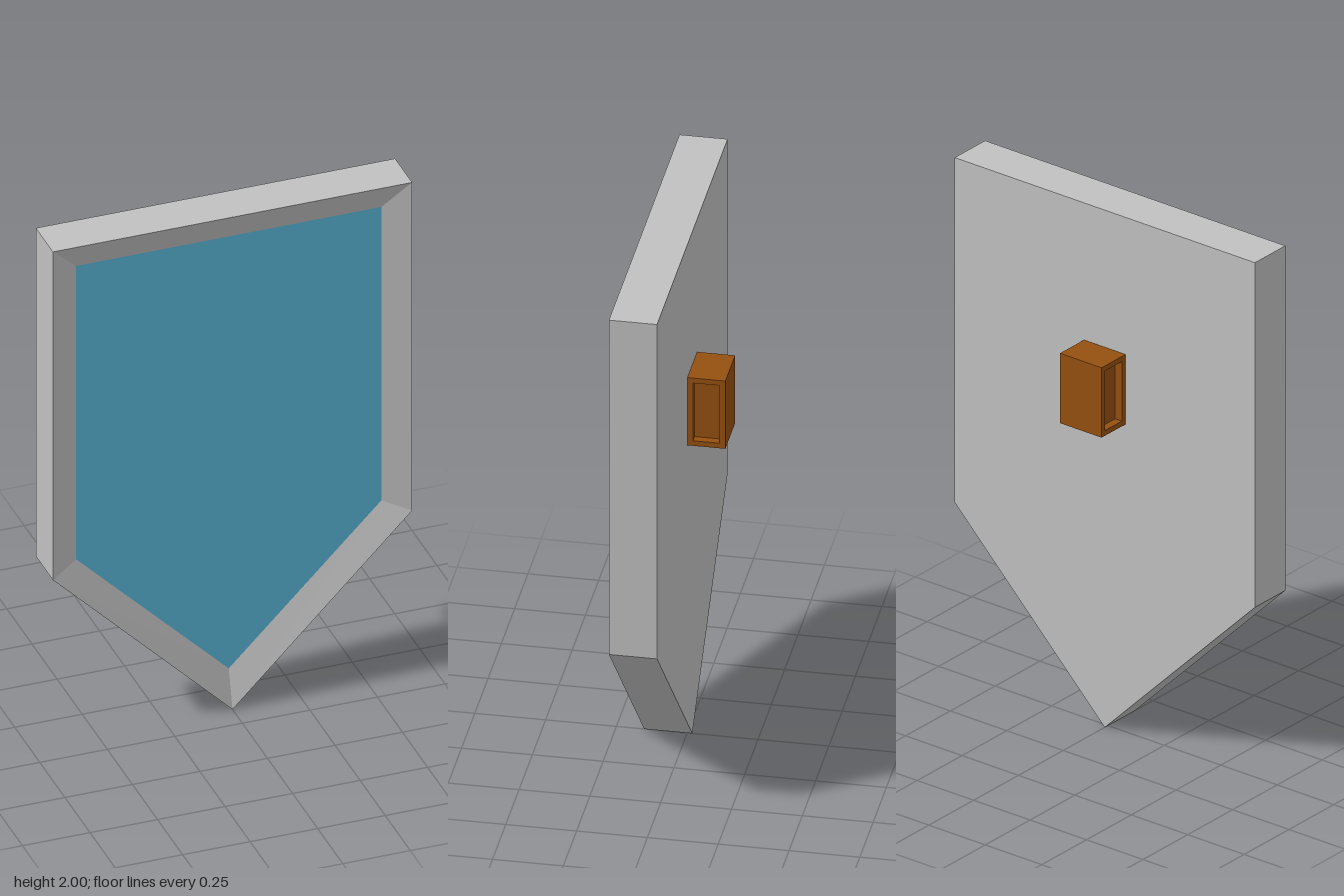
import * as THREE from 'three';

const BACK = -0.018, FRONT = 0.152, PANEL = 0.114;

// pentagon outlines, counter-clockwise seen from the front
const OUTER = [[0, 0], [0.665, 0.667], [0.665, 2], [-0.665, 2], [-0.665, 0.667]];
const INNER = [[0, 0.145], [0.565, 0.708], [0.565, 1.9], [-0.565, 1.9], [-0.565, 0.708]];

// flat band of quads joining two outlines at different depths
function band(a, za, b, zb) {
  const pos = [];
  a.forEach((p, i) => {
    const j = (i + 1) % a.length;
    const A = [...p, za], B = [...a[j], za], C = [...b[j], zb], D = [...b[i], zb];
    pos.push(...A, ...B, ...C, ...A, ...C, ...D);
  });
  const g = new THREE.BufferGeometry();
  g.setAttribute('position', new THREE.Float32BufferAttribute(pos, 3));
  g.computeVertexNormals();
  return g;
}

// flat plate from an outline
function plate(points) {
  return new THREE.ShapeGeometry(new THREE.Shape(points.map(p => new THREE.Vector2(...p))));
}

function rectangle(w, h, PathType) {
  return new PathType([[-w, -h], [w, -h], [w, h], [-w, h]]
    .map(([x, y]) => new THREE.Vector2(x / 2, y / 2)));
}

export function createModel() {
  const model = new THREE.Group();
  const metal = new THREE.MeshStandardMaterial({ color: 0xc0c0c0 });
  const blue = new THREE.MeshStandardMaterial({ color: 0x59b8d9 });
  const leather = new THREE.MeshStandardMaterial({ color: 0x955010 });
  metal.name = 'grey metal';
  blue.name = 'blue face';
  leather.name = 'brown handle';

  function add(parent, name, geometry, material) {
    const mesh = new THREE.Mesh(geometry, material);
    mesh.name = name;
    parent.add(mesh);
    return mesh;
  }

  // shield body: outer rim, bevel sloping in to the panel, flat back
  const body = new THREE.Group();
  body.name = 'shieldBody';
  model.add(body);
  add(body, 'rim', band(OUTER, BACK, OUTER, FRONT), metal);
  add(body, 'bevel', band(OUTER, FRONT, INNER, PANEL), metal);
  const back = add(body, 'backPlate', plate(OUTER), metal);
  back.rotation.y = Math.PI;
  back.position.z = BACK;

  // recessed front panel
  add(model, 'frontPanel', plate(INNER), blue).position.z = PANEL;

  // handle block, with a shallow pocket in each end
  const handle = new THREE.Group();
  handle.name = 'handle';
  handle.position.set(0, 1.335, -0.085);
  model.add(handle);
  const length = 0.184, pocket = 0.03;
  const sleeve = rectangle(0.134, 0.27, THREE.Shape);
  sleeve.holes.push(rectangle(0.094, 0.23, THREE.Path));
  const sleeveGeometry = new THREE.ExtrudeGeometry(sleeve, { depth: length, bevelEnabled: false });
  sleeveGeometry.translate(0, 0, -length / 2).rotateY(Math.PI / 2);
  add(handle, 'handleSleeve', sleeveGeometry, leather);
  add(handle, 'handleCore', new THREE.BoxGeometry(length - 2 * pocket, 0.23, 0.094), leather);

  return model;
}
